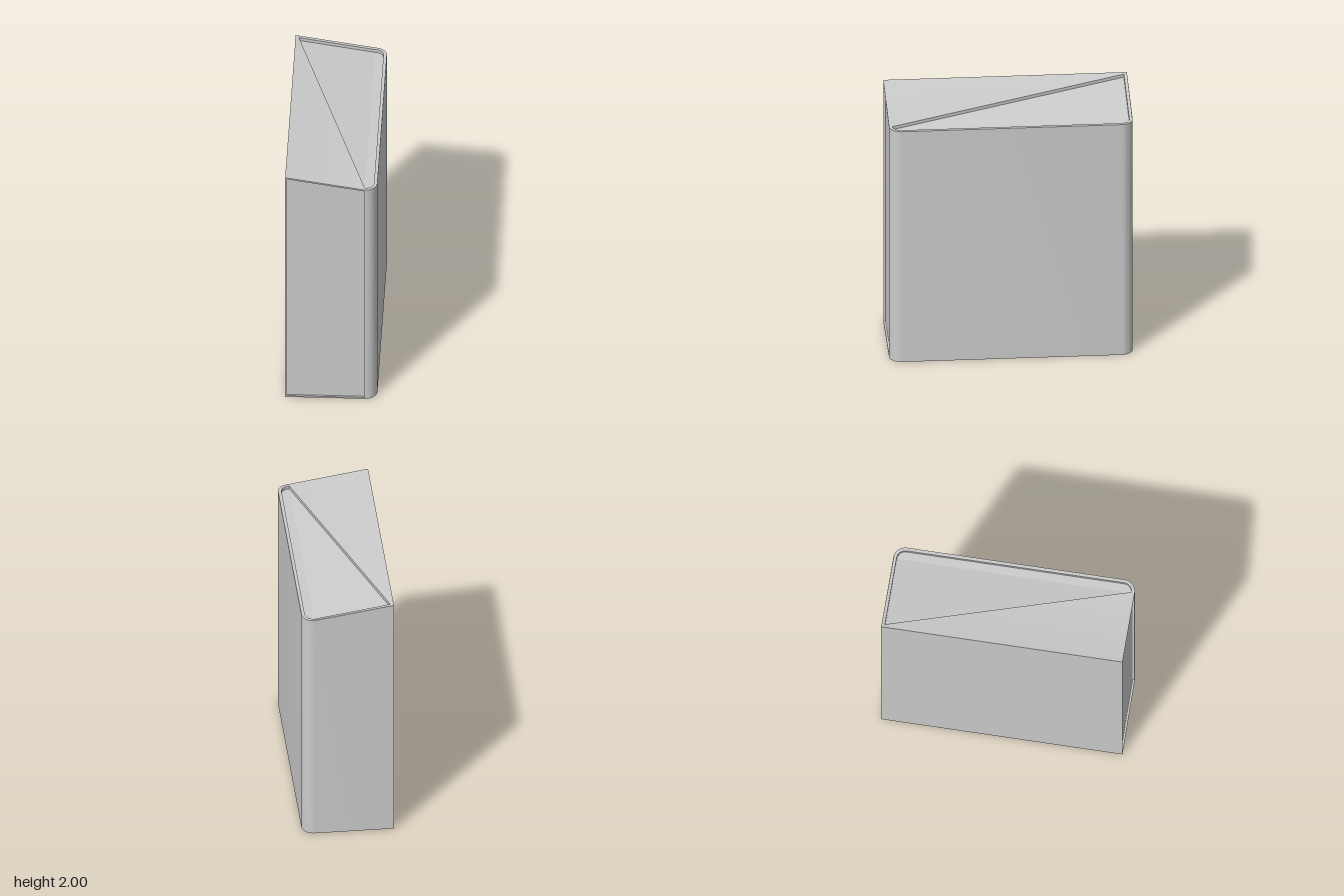
import * as THREE from 'three';
import { toCreasedNormals } from 'three/addons/utils/BufferGeometryUtils.js';

const X = 0.34, Z = 0.905, BEND = 0.25;   // half width, half depth, where the slope ends
const WALL = 0.025, RECESS = 0.015, PLATE = 0.004, RIM = 0.012;

// Height of the rim: sloping, then level over the rounded side
const topY = (x) => 1.905 + Math.max(0, BEND - x) * 0.095 / (BEND + X);

// Plan outline (shape y = -z) with two rounded corners on +x; notch sets the front panel back
function trace(path, inset, notch = 0) {
  const x = X - inset, z = Z - inset, r = x - BEND;
  path.moveTo(-x, -z + notch);
  if (notch) path.lineTo(BEND, -z + notch);
  path.absarc(BEND, -z + r, r, -Math.PI / 2, 0, false);
  path.absarc(BEND, z - r, r, 0, Math.PI / 2, false);
  path.lineTo(-x, z);
  path.closePath();
  return path;
}

function rectangle(path, x0, x1, y0, y1) {
  path.moveTo(x0, y0);
  path.lineTo(x1, y0);
  path.lineTo(x1, y1);
  path.lineTo(x0, y1);
  path.closePath();
  return path;
}

// Extrude a plan shape upward from y0
function slab(shape, y0, height) {
  const g = new THREE.ExtrudeGeometry(shape, { depth: height, bevelEnabled: false, curveSegments: 6 });
  return g.rotateX(-Math.PI / 2).translate(0, y0, 0);
}

// Move the vertices at the upper end onto the sloping top
function slopeTop(g, drop = 0) {
  const p = g.attributes.position;
  for (let i = 0; i < p.count; i++) {
    if (p.getY(i) > 0.5) p.setY(i, topY(p.getX(i)) - drop);
  }
  g.computeVertexNormals();
  return g;
}

export function createModel() {
  const group = new THREE.Group();
  const material = new THREE.MeshStandardMaterial({ color: 0xcccccc });
  const add = (name, geometry) => {
    const mesh = new THREE.Mesh(toCreasedNormals(geometry, 0.5), material);
    mesh.name = name;
    group.add(mesh);
  };

  // Hollow casing with a raised rim around the top
  const casing = trace(new THREE.Shape(), 0, RECESS);
  casing.holes.push(trace(new THREE.Path(), WALL));
  add('casing', slopeTop(slab(casing, PLATE, 1)));

  // Sunken top: a sloping part and a level part along the rounded side
  const zi = Z - WALL, xi = X - WALL, r = xi - BEND;
  const slope = rectangle(new THREE.Shape(), -xi, BEND, -zi, zi);
  const level = new THREE.Shape();
  level.moveTo(BEND, -zi);
  level.absarc(BEND, -zi + r, r, -Math.PI / 2, 0, false);
  level.absarc(BEND, zi - r, r, 0, Math.PI / 2, false);
  level.closePath();
  [['topPanel', slope], ['topPanelEdge', level]].forEach(([name, shape]) => {
    const g = new THREE.ShapeGeometry(shape, 6).rotateX(-Math.PI / 2).translate(0, 1, 0);
    add(name, slopeTop(g, WALL));
  });

  // Thin frame around the set-back front panel, open toward the rounded corner
  const frame = new THREE.Shape([
    [-X, 0], [BEND, 0], [BEND, RIM], [-X + RIM, RIM],
    [-X + RIM, topY(-X + RIM) - RIM], [BEND, topY(BEND) - RIM],
    [BEND, topY(BEND)], [-X, topY(-X)],
  ].map(([x, y]) => new THREE.Vector2(x, y)));
  add('frontFrame', new THREE.ExtrudeGeometry(frame, { depth: RECESS, bevelEnabled: false })
    .translate(0, 0, Z - RECESS));

  // Bottom plate with three slots and two round recesses
  const base = trace(new THREE.Shape(), 0, RECESS);
  [[0.14, 0.23, 0.145, 0.575], [0.14, 0.23, -0.38, 0.05], [0.02, 0.105, -0.13, 0.295]]
    .forEach(([x0, x1, z0, z1]) => base.holes.push(rectangle(new THREE.Path(), x0, x1, -z1, -z0)));
  [-0.55, 0.56].forEach((z) => {
    base.holes.push(new THREE.Path().absarc(-0.25, -z, 0.045, 0, Math.PI * 2, false));
  });
  add('bottomPlate', slab(base, 0, PLATE));
  add('recessFloor', slab(trace(new THREE.Shape(), WALL), PLATE, 0.02));

  return group;
}
